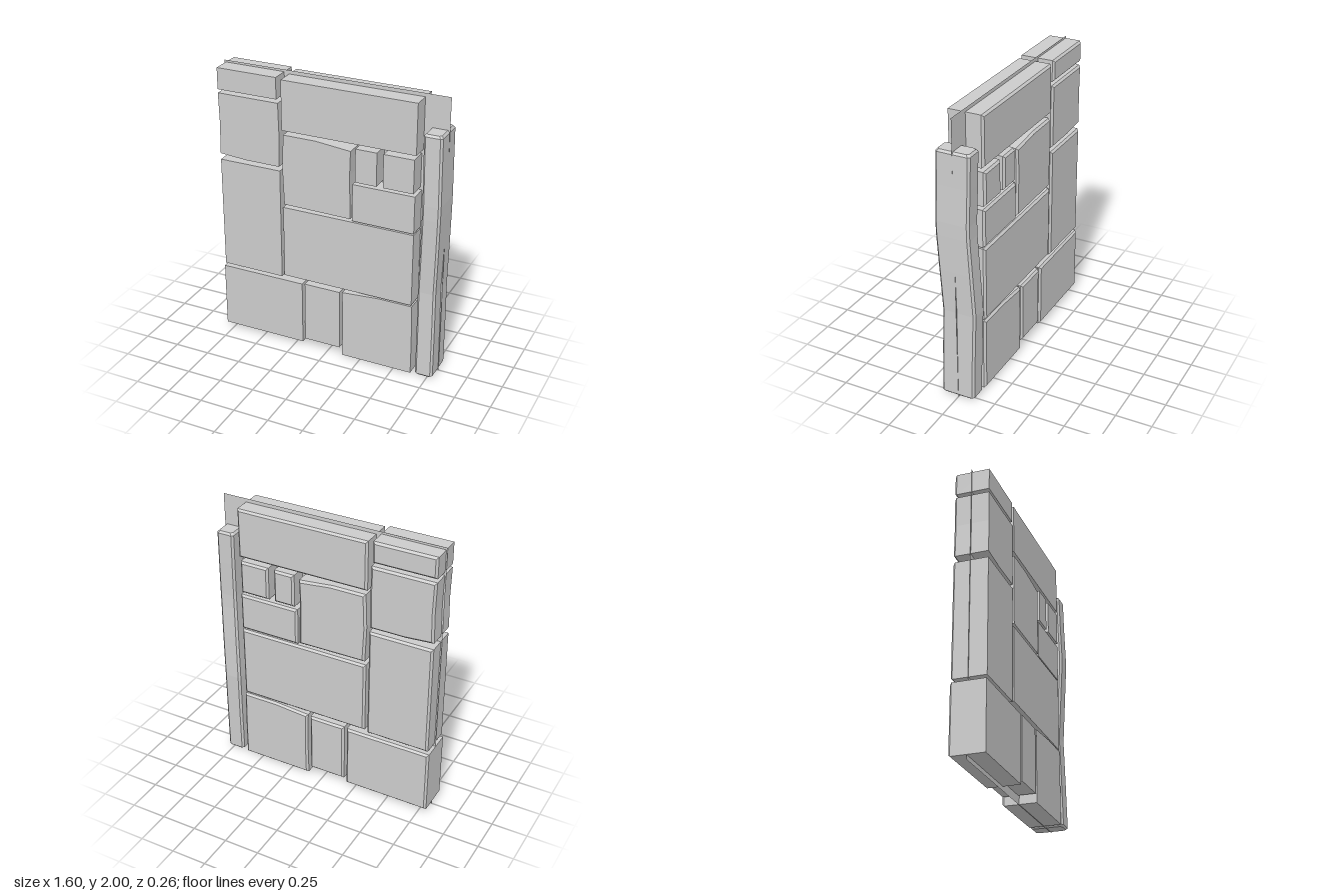
import * as THREE from 'three';

const material = new THREE.MeshStandardMaterial({ color: 0xcccccc, flatShading: true, side: THREE.DoubleSide });

const rect = (x0, x1, y0, y1) => [[x0, y0], [x1, y0], [x1, y1], [x0, y1]];

// Stone: outline extruded through the wall, with chamfered back edges
function stone(points, half = 0.12, chamfer = 0.014) {
  const shape = new THREE.Shape(points.map(([x, y]) => new THREE.Vector2(x, y)));
  const geo = new THREE.ExtrudeGeometry(shape, { depth: 2, steps: 2, bevelEnabled: false });
  geo.computeBoundingBox();
  const c = geo.boundingBox.getCenter(new THREE.Vector3());
  const p = geo.attributes.position;
  for (let i = 0; i < p.count; i++) {
    const ring = Math.round(p.getZ(i));
    if (ring === 0) {
      p.setX(i, p.getX(i) - Math.sign(p.getX(i) - c.x) * chamfer);
      p.setY(i, p.getY(i) - Math.sign(p.getY(i) - c.y) * chamfer);
    }
    p.setZ(i, [-half, -half + chamfer, half][ring]);
  }
  geo.computeVertexNormals();
  return geo;
}

// Post: chamfered rectangular sections [y, centre x, centre z, inset] lofted upwards
function bentPost(sections, halfX, halfZ, chamfer) {
  const pos = [], index = [];
  for (const [y, cx, cz, inset] of sections) {
    const a = halfX - inset, b = halfZ - inset, k = chamfer;
    const ring = [[a, b - k], [a, k - b], [a - k, -b], [k - a, -b], [-a, k - b], [-a, b - k], [k - a, b], [a - k, b]];
    for (const [x, z] of ring) pos.push(cx + x, y, cz + z);
  }
  const n = 8, last = (sections.length - 1) * n;
  for (let s = 0; s < last; s += n) {
    for (let i = 0; i < n; i++) {
      const j = (i + 1) % n;
      index.push(s + i, s + j, s + n + j, s + i, s + n + j, s + n + i);
    }
  }
  for (let i = 1; i < n - 1; i++) {
    index.push(0, i + 1, i);
    index.push(last, last + i, last + i + 1);
  }
  const geo = new THREE.BufferGeometry();
  geo.setAttribute('position', new THREE.Float32BufferAttribute(pos, 3));
  geo.setIndex(index);
  const flat = geo.toNonIndexed();
  flat.computeVertexNormals();
  return flat;
}

export function createModel() {
  const group = new THREE.Group();
  const add = (name, geo) => {
    const mesh = new THREE.Mesh(geo, material);
    mesh.name = name;
    group.add(mesh);
    return mesh;
  };

  // Thin sheet in the middle of the wall, closing the joints
  add('mortarSheet', new THREE.PlaneGeometry(1.595, 2)).position.set(-0.0065, 1, 0);

  // Stones, top to bottom
  const stones = {
    topRightStone: rect(-0.795, -0.36, 1.835, 1.985),
    lintelStone: rect(-0.325, 0.62, 1.625, 1.975),
    upperRightStone: [[-0.795, 1.375], [-0.6, 1.36], [-0.35, 1.36], [-0.345, 1.6], [-0.35, 1.81], [-0.795, 1.81], [-0.79, 1.6]],
    tallRightStone: rect(-0.795, -0.345, 0.525, 1.33),
    squareStone: [[-0.315, 1.09], [0.17, 1.085], [0.165, 1.4], [0.17, 1.57], [-0.08, 1.595], [-0.315, 1.595], [-0.325, 1.35]],
    smallStoneInner: rect(0.205, 0.355, 1.36, 1.595),
    smallStoneOuter: rect(0.4, 0.61, 1.36, 1.595),
    shortStone: rect(0.185, 0.62, 1.075, 1.34),
    wideStone: rect(-0.325, 0.62, 0.54, 1.065),
    bottomRightStone: rect(-0.805, -0.19, 0.03, 0.5),
    bottomMiddleStone: rect(-0.17, 0.095, 0.06, 0.505),
    bottomLeftStone: [[0.115, 0.005], [0.63, 0.005], [0.63, 0.25], [0.625, 0.53], [0.38, 0.53], [0.115, 0.51], [0.12, 0.25]],
  };
  for (const [name, outline] of Object.entries(stones)) {
    add(name, stone(outline, name.startsWith('small') ? 0.123 : 0.12));
  }

  // Bent post at the wall's left end
  const sections = [
    [0.005, 0.725, 0.005, 0.012], [0.018, 0.725, 0.005, 0],
    [0.35, 0.722, -0.003, 0], [0.65, 0.717, -0.011, 0], [0.95, 0.727, 0.002, 0],
    [1.2, 0.734, 0.013, 0], [1.3, 0.735, 0.014, 0], [1.55, 0.729, 0.007, 0],
    [1.765, 0.725, 0.003, 0], [1.78, 0.725, 0.003, 0.012],
  ];
  add('endPost', bentPost(sections, 0.063, 0.119, 0.014));

  return group;
}
